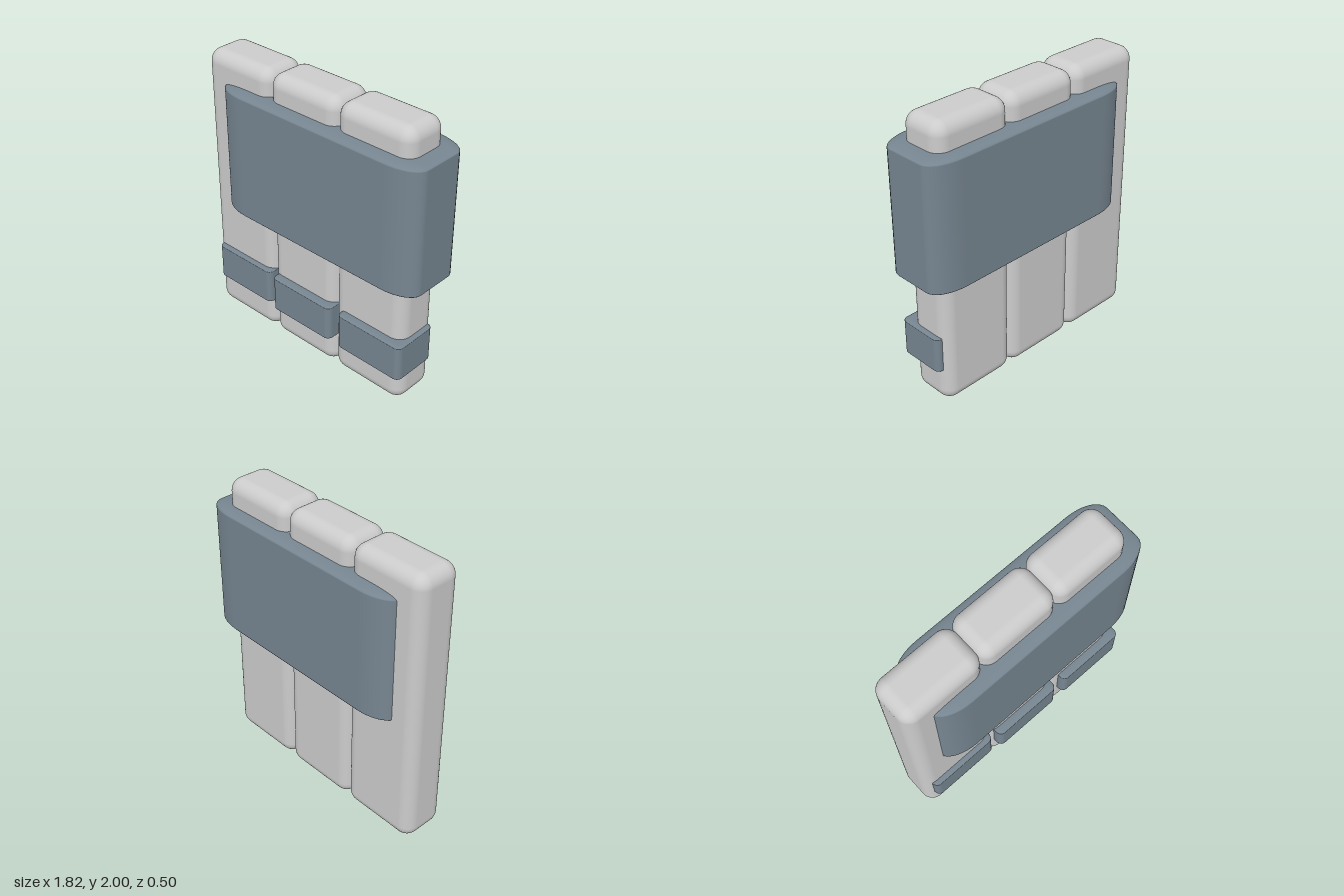
import * as THREE from 'three';
import { RoundedBoxGeometry } from 'three/addons/geometries/RoundedBoxGeometry.js';

const grey = new THREE.MeshStandardMaterial({ color: 0xcccccc });
const slate = new THREE.MeshStandardMaterial({ color: 0x768590 });

// Box between two corners, with its own edge radius along each axis
function softBox(name, min, max, radii, material) {
  const size = max.map((v, i) => (v - min[i]) / radii[i]);
  const geometry = new RoundedBoxGeometry(size[0], size[1], size[2], 5, 1);
  geometry.scale(...radii);
  geometry.translate(...max.map((v, i) => (v + min[i]) / 2));
  const mesh = new THREE.Mesh(geometry, material);
  mesh.name = name;
  return mesh;
}

export function createModel() {
  const model = new THREE.Group();
  model.name = 'boundBars';

  // Three upright bars side by side
  for (let i = 0; i < 3; i++) {
    const x = -0.91 + i * 0.566;
    model.add(softBox(`bar${i + 1}`, [x, 0, -0.165], [x + 0.578, 2, 0.165], [0.09, 0.09, 0.09], grey));
  }

  // Wide sleeve around the upper half, offset to the left
  model.add(softBox('sleeve', [-0.74, 0.9, -0.25], [0.91, 1.82, 0.25], [0.23, 0.03, 0.12], slate));

  // Small clip low on the front of each bar: left edge, right edge, front
  const clips = [[-0.855, -0.34, 0.203], [-0.295, 0.235, 0.225], [0.305, 0.835, 0.225]];
  clips.forEach(([x0, x1, z], i) => {
    model.add(softBox(`clip${i + 1}`, [x0, 0.25, z - 0.34], [x1, 0.515, z], [0.04, 0.01, 0.045], slate));
  });

  return model;
}
